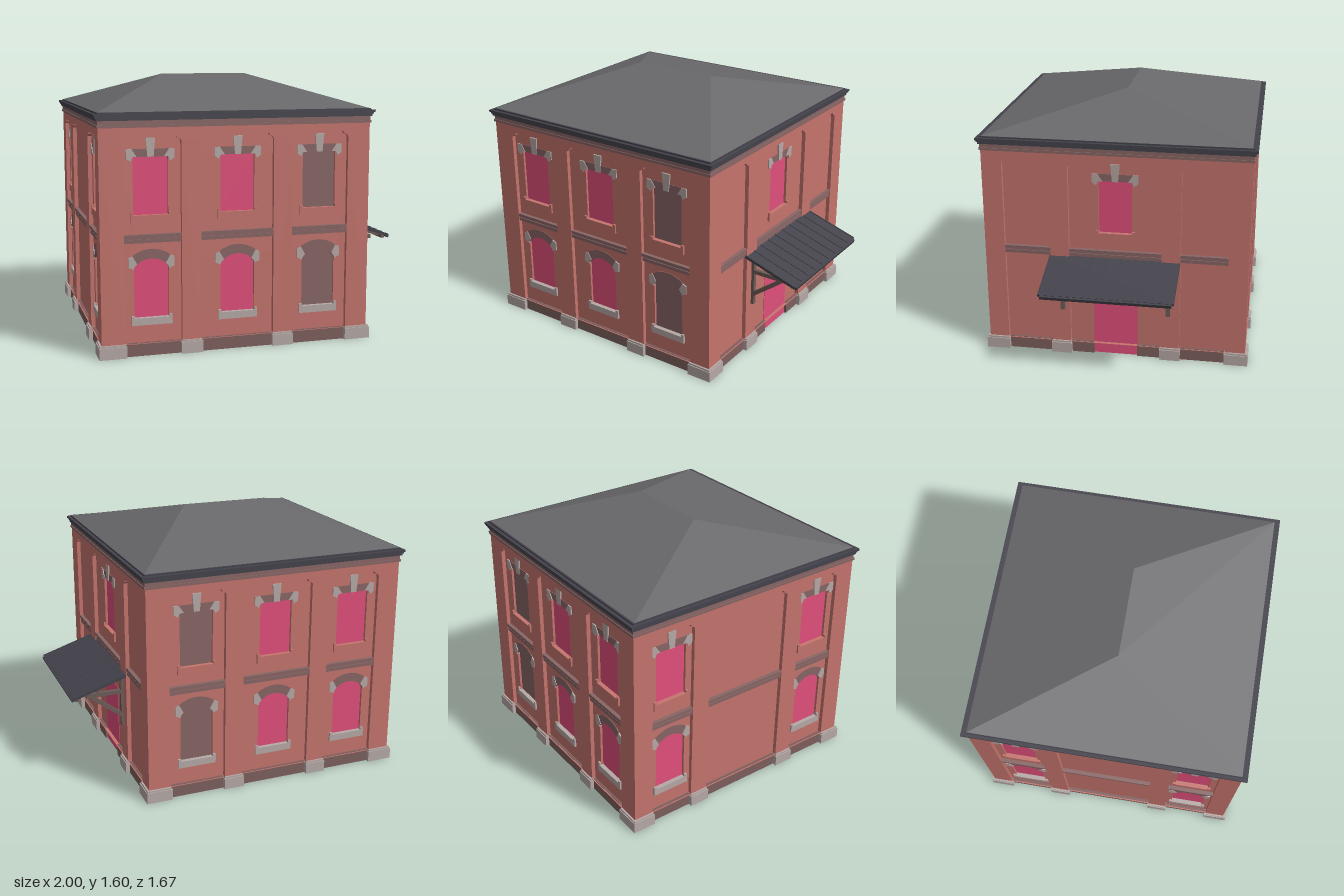
import * as THREE from 'three';
import { ConvexGeometry } from 'three/addons/geometries/ConvexGeometry.js';

const mat = (color) => new THREE.MeshStandardMaterial({ color, side: THREE.DoubleSide, flatShading: true });
const M = {
  brick: mat(0xc5746d), darkBrick: mat(0x886665), stone: mat(0xb6a9a6), plinth: mat(0x7d5f5d),
  pane: mat(0xe14f7b), roof: mat(0x69696c), slate: mat(0x44424b), wood: mat(0x6d5b57),
};
const CX = -0.161, HX = 0.815, HZ = 0.812; // house centre and half sizes
const RECESS = 0.025, INNER = -0.12, BASE = 0.074, TOP = 1.37;

function add(parent, name, geometry, material) {
  const mesh = new THREE.Mesh(geometry, material);
  mesh.name = name;
  parent.add(mesh);
  return mesh;
}

// box given by its two extreme corners
function block(parent, name, material, x0, x1, y0, y1, z0, z1) {
  const mesh = add(parent, name, new THREE.BoxGeometry(x1 - x0, y1 - y0, z1 - z0), material);
  mesh.position.set((x0 + x1) / 2, (y0 + y1) / 2, (z0 + z1) / 2);
}

const poly = (pts) => new THREE.Shape(pts.map(([x, y]) => new THREE.Vector2(x, y)));
const rect = (x0, x1, y0, y1) => poly([[x0, y0], [x1, y0], [x1, y1], [x0, y1]]);

// flat shape extruded between two depths
function plate(parent, name, material, shape, z0, z1) {
  const geometry = new THREE.ExtrudeGeometry(shape, { depth: z1 - z0, bevelEnabled: false });
  geometry.translate(0, 0, z0);
  add(parent, name, geometry, material);
}

// window trim set into the panel, standing slightly proud of it
const trim = (parent, name, material, shape, proud) =>
  plate(parent, name, material, shape, -RECESS - 0.03, -RECESS + proud);

// recessed panel outline with stepped, scooped top corners
function panelShape(a, b) {
  const corner = [[0, 1.245], [0.012, 1.257], [0.025, 1.26], [0.028, 1.272], [0.038, 1.277]];
  return poly([[a, 0.075], [b, 0.075], ...corner.map(([d, y]) => [b - d, y]),
    ...corner.slice().reverse().map(([d, y]) => [a + d, y])]);
}

// arc points of a segmental arch around x
function arc(x, cy, r, half, n = 10) {
  const a = Math.asin(half / r);
  return Array.from({ length: n + 1 }, (_, i) => {
    const t = a - (2 * a * i) / n;
    return [x + r * Math.sin(t), cy + r * Math.cos(t)];
  });
}

const archOpening = (x) => poly([[x - 0.102, 0.22], [x + 0.102, 0.22], ...arc(x, 0.445, 0.125, 0.102)]);
const flatOpening = (x) => rect(x - 0.102, x + 0.102, 0.82, 1.155);

function sill(parent, material, x, y) {
  trim(parent, 'windowSill', material, poly([
    [x - 0.12, y], [x + 0.12, y], [x + 0.12, y + 0.058], [x + 0.102, y + 0.058],
    [x + 0.102, y + 0.042], [x - 0.102, y + 0.042], [x - 0.102, y + 0.058], [x - 0.12, y + 0.058],
  ]), 0.012);
}

const mirrored = (pts, x, s) => poly(pts.map(([px, py]) => [x + s * px, py]));

function lowerTrim(parent, x) {
  trim(parent, 'windowArch', M.darkBrick,
    poly([...arc(x, 0.445, 0.18, 0.13), ...arc(x, 0.445, 0.125, 0.102).reverse()]), 0.004);
  for (const s of [-1, 1]) trim(parent, 'archSpringer', M.stone,
    mirrored([[0.102, 0.508], [0.135, 0.522], [0.135, 0.575], [0.11, 0.587], [0.084, 0.54], [0.102, 0.52]], x, s), 0.008);
  sill(parent, M.stone, x, 0.18);
}

function upperTrim(parent, x) {
  trim(parent, 'windowLintel', M.darkBrick, rect(x - 0.13, x + 0.13, 1.155, 1.2), 0.004);
  for (const s of [-1, 1]) trim(parent, 'lintelEnd', M.stone,
    mirrored([[0.14, 1.2], [0.14, 1.147], [0.115, 1.13], [0.102, 1.155], [0.078, 1.155], [0.108, 1.2]], x, s), 0.008);
  trim(parent, 'keystone', M.stone,
    poly([[x - 0.018, 1.155], [x + 0.018, 1.155], [x + 0.028, 1.263], [x - 0.028, 1.263]]), 0.01);
  sill(parent, M.brick, x, 0.78);
}

// one facade: x along the wall, z outward, outer pilaster face at z = 0
function makeWall(name, half, panels, { lower = [], upper = [], blind = null, door = false }) {
  const wall = new THREE.Group();
  wall.name = name;
  const face = rect(-half, half, BASE, TOP), core = rect(-half, half, BASE, TOP);
  face.holes = panels.map(([a, b]) => panelShape(a, b));
  core.holes = [...lower.map(archOpening), ...upper.map(flatOpening)];
  plate(wall, 'pilasters', M.brick, face, -RECESS, 0);
  plate(wall, 'wallCore', M.brick, core, INNER, -RECESS);

  // panes and trim
  const pane = (x, shape) => plate(wall, x === blind ? 'blindWindow' : 'windowPane',
    x === blind ? M.darkBrick : M.pane, shape, -0.05, -0.04);
  for (const x of lower) { pane(x, archOpening(x)); lowerTrim(wall, x); }
  for (const x of upper) { pane(x, flatOpening(x)); upperTrim(wall, x); }
  if (door) block(wall, 'door', M.pane, -0.137, 0.137, 0, 0.48, INNER - 0.002, -RECESS + 0.003);

  // string course and plinth infill of each panel
  for (const [a, b] of panels) {
    block(wall, 'stringCourseLower', M.darkBrick, a, b, 0.663, 0.684, -RECESS, -0.006);
    block(wall, 'stringCourseMiddle', M.darkBrick, a, b, 0.684, 0.693, -RECESS, -0.012);
    block(wall, 'stringCourseUpper', M.darkBrick, a, b, 0.693, 0.712, -RECESS, -0.001);
    const spans = door && a < 0 && b > 0 ? [[a, -0.137], [0.137, b]] : [[a, b]];
    for (const [p, q] of spans) block(wall, 'plinthInfill', M.plinth, p, q, 0, 0.077, INNER, -0.008);
  }
  // stone plinth blocks under the pilasters
  const edges = [-half - 0.017, ...panels.flat(), half + 0.017];
  for (let i = 0; i < edges.length; i += 2) {
    const p = edges[i] - (i ? 0.007 : 0), q = edges[i + 1] + (i + 2 < edges.length ? 0.007 : 0);
    block(wall, 'plinthBlock', M.stone, p, q, 0, 0.068, INNER, 0.017);
    block(wall, 'plinthBlockCap', M.stone, p + 0.005, q - 0.005, 0.068, 0.079, -0.06, 0.011);
  }
  return wall;
}

// sloping or straight timber in the xy plane
function beam(parent, name, material, x0, y0, x1, y1, thick, z, width) {
  const mesh = add(parent, name, new THREE.BoxGeometry(Math.hypot(x1 - x0, y1 - y0), thick, width), material);
  mesh.position.set((x0 + x1) / 2, (y0 + y1) / 2, z);
  mesh.rotation.z = Math.atan2(y1 - y0, x1 - x0);
}

function makeCanopy() {
  const g = new THREE.Group();
  g.name = 'doorCanopy';
  beam(g, 'canopyRoof', M.slate, 0.645, 0.656, 0.985, 0.546, 0.014, 0.004, 0.806);
  for (let i = 0; i <= 9; i++)
    beam(g, 'canopySeam', M.slate, 0.645, 0.662, 0.985, 0.552, 0.01, -0.395 + i * 0.0887, 0.007);
  beam(g, 'canopyEdge', M.slate, 0.975, 0.544, 0.996, 0.537, 0.02, 0.004, 0.78);
  for (const [x, y] of [[0.667, 0.632], [0.815, 0.584], [0.96, 0.537]])
    block(g, 'canopyPurlin', M.wood, x - 0.011, x + 0.011, y - 0.012, y + 0.008, -0.38, 0.38);
  for (const z of [-0.33, 0.33]) {
    block(g, 'bracketPost', M.wood, 0.645, 0.672, 0.305, 0.638, z - 0.013, z + 0.013);
    block(g, 'bracketBeam', M.wood, 0.65, 0.892, 0.52, 0.545, z - 0.013, z + 0.013);
    block(g, 'bracketStud', M.wood, 0.803, 0.827, 0.54, 0.588, z - 0.012, z + 0.012);
    beam(g, 'bracketBrace', M.wood, 0.66, 0.37, 0.87, 0.53, 0.024, z, 0.024);
    beam(g, 'bracketRafter', M.wood, 0.65, 0.639, 0.975, 0.535, 0.022, z, 0.026);
  }
  return g;
}

export function createModel() {
  const house = new THREE.Group();
  house.name = 'house';

  // four facades
  const longPanels = [[-0.678, -0.342], [-0.227, 0.213], [0.328, 0.678]];
  const sidePanels = [[-0.688, -0.4], [-0.285, 0.285], [0.4, 0.688]];
  const bays = [-0.517, -0.002, 0.503];
  const backBays = bays.map((x) => -x);
  const backPanels = longPanels.map(([a, b]) => [-b, -a]).reverse();
  const ends = [-0.544, 0.544];
  const facades = [
    [makeWall('frontWall', HX, longPanels, { lower: bays, upper: bays, blind: bays[2] }), CX, HZ, 0],
    [makeWall('backWall', HX, backPanels, { lower: backBays, upper: backBays, blind: backBays[2] }), CX, -HZ, Math.PI],
    [makeWall('doorSideWall', HZ, sidePanels, { upper: [0], door: true }), CX + HX, 0, Math.PI / 2],
    [makeWall('farSideWall', HZ, sidePanels, { lower: ends, upper: ends }), CX - HX, 0, -Math.PI / 2],
  ];
  for (const [wall, x, z, turn] of facades) {
    wall.position.set(x, 0, z);
    wall.rotation.y = turn;
    house.add(wall);
  }

  // cornice courses: bottom, top, overhang
  for (const [y0, y1, o, m] of [
    [1.322, 1.337, 0.008, M.darkBrick], [1.337, 1.366, 0.003, M.darkBrick], [1.362, 1.375, 0.012, M.slate],
    [1.375, 1.386, 0.018, M.slate], [1.386, 1.399, 0.025, M.slate], [1.399, 1.408, 0.004, M.slate],
  ]) block(house, 'cornice', m, CX - HX - o, CX + HX + o, y0, y1, -HZ - o, HZ + o);

  // hipped roof
  const eaves = [-1, 1].flatMap((sx) => [-1, 1].map((sz) => new THREE.Vector3(CX + sx * 0.818, 1.407, sz * 0.808)));
  add(house, 'hippedRoof', new ConvexGeometry([...eaves,
    new THREE.Vector3(-0.435, 1.602, 0), new THREE.Vector3(0.115, 1.602, 0)]), M.roof);

  house.add(makeCanopy());
  return house;
}
